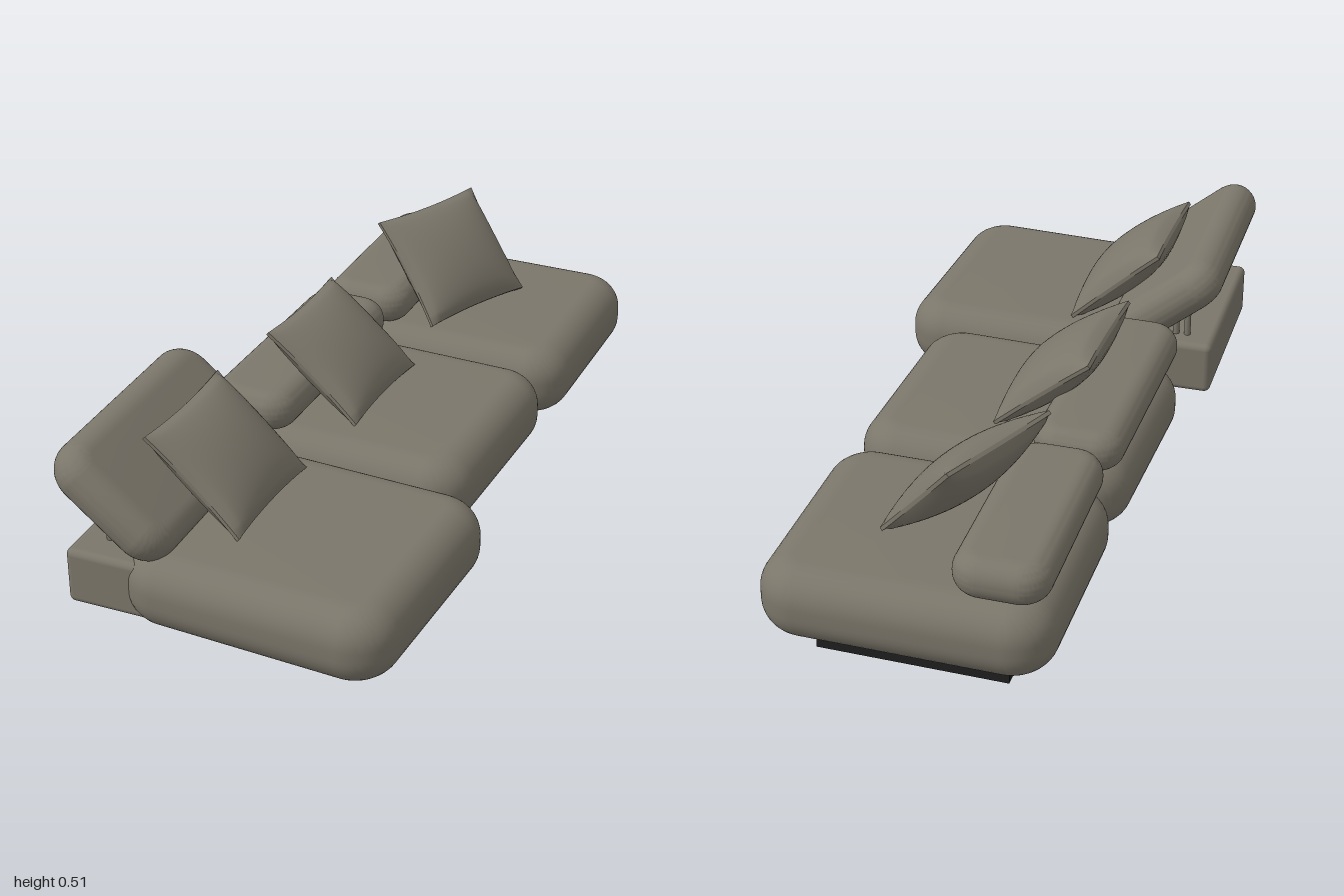
import * as THREE from 'three';
import { toCreasedNormals } from 'three/addons/utils/BufferGeometryUtils.js';
import { RoundedBoxGeometry } from 'three/addons/geometries/RoundedBoxGeometry.js';

const fabric = new THREE.MeshStandardMaterial({ color: 0x7b766a });
fabric.name = 'taupe fabric';
const black = new THREE.MeshStandardMaterial({ color: 0x1f1f1f });
black.name = 'black plinth';

// Soft block: rounded rectangle in plan (corner) with rolled top and bottom edges (roll)
function cushionGeometry(w, h, d, corner, roll) {
  const x = w / 2, y = d / 2, c = corner;
  const s = new THREE.Shape();
  s.moveTo(-x + c, -y);
  s.lineTo(x - c, -y);
  s.absarc(x - c, -y + c, c, -Math.PI / 2, 0);
  s.lineTo(x, y - c);
  s.absarc(x - c, y - c, c, 0, Math.PI / 2);
  s.lineTo(-x + c, y);
  s.absarc(-x + c, y - c, c, Math.PI / 2, Math.PI);
  s.lineTo(-x, -y + c);
  s.absarc(-x + c, -y + c, c, Math.PI, Math.PI * 1.5);
  const g = new THREE.ExtrudeGeometry(s, {
    depth: h - 2 * roll, bevelThickness: roll, bevelSize: roll, bevelOffset: -roll,
    bevelSegments: 10, curveSegments: 10,
  });
  g.center();
  g.rotateX(-Math.PI / 2);
  return toCreasedNormals(g, 0.8);
}

// Throw pillow: full in the middle, pinched to a thin seam, edges drawn in between the corners
function pillowGeometry(w, t, d) {
  const g = new THREE.BoxGeometry(2, 2, 2, 24, 1, 24);
  const p = g.attributes.position;
  for (let i = 0; i < p.count; i++) {
    const u = p.getX(i), v = p.getZ(i), side = Math.sign(p.getY(i));
    const puff = Math.pow(Math.max(0, (1 - u * u) * (1 - v * v)), 0.5);
    const drawX = 1 - 0.05 * (1 - v * v), drawZ = 1 - 0.05 * (1 - u * u);
    p.setXYZ(i, u * drawX * w / 2, side * (0.005 + puff * (t / 2 - 0.005)), v * drawZ * d / 2);
  }
  g.computeVertexNormals();
  return g;
}

export function createModel() {
  const model = new THREE.Group();

  function add(name, geometry, material, [x, y, z], yaw = 0, tilt = 0) {
    const mesh = new THREE.Mesh(geometry, material);
    mesh.name = name;
    mesh.position.set(x, y, z);
    mesh.rotation.set(0, yaw, -tilt, 'YXZ');
    model.add(mesh);
  }

  // Three seat modules, each on a recessed plinth
  const seats = [
    { name: 'front', x: 0.078, z: 0.652, w: 0.71, d: 0.66, yaw: -0.06, baseD: 0.345 },
    { name: 'middle', x: -0.008, z: -0.022, w: 0.725, d: 0.65, yaw: -0.045, baseD: 0.41 },
    { name: 'rear', x: 0.02, z: -0.672, w: 0.735, d: 0.645, yaw: -0.02, baseD: 0.43 },
  ];
  for (const s of seats) {
    add(s.name + 'Seat', cushionGeometry(s.w, 0.198, s.d, 0.115, 0.085), fabric, [s.x, 0.155, s.z], s.yaw);
    add(s.name + 'Plinth', new THREE.BoxGeometry(0.485, 0.07, s.baseD), black, [s.x - 0.008, 0.035, s.z - 0.012], s.yaw);
  }

  // Flat bolsters on the middle and rear seats
  add('middleBolster', cushionGeometry(0.235, 0.11, 0.675, 0.075, 0.052), fabric, [-0.243, 0.305, -0.032], -0.03);
  add('rearBolster', cushionGeometry(0.24, 0.11, 0.585, 0.075, 0.052), fabric, [-0.21, 0.305, -0.668], -0.01);

  // Reclined backrest of the front seat with its support block and posts
  add('backrest', cushionGeometry(0.355, 0.12, 0.65, 0.085, 0.058), fabric, [-0.305, 0.362, 0.635], 0, 0.69);
  add('backBlock', new RoundedBoxGeometry(0.25, 0.15, 0.52, 4, 0.018), fabric, [-0.305, 0.147, 0.67]);
  for (const z of [0.47, 0.845]) {
    for (const [x, h] of [[-0.35, 0.14], [-0.318, 0.12]]) {
      add('backrestPost', new THREE.CylinderGeometry(0.009, 0.009, h, 16), fabric, [x, 0.2 + h / 2, z]);
    }
  }

  // Throw pillows leaning backwards
  const pillow = pillowGeometry(0.33, 0.125, 0.365);
  add('frontPillow', pillow, fabric, [-0.155, 0.368, 0.597], -0.03, 0.74);
  add('middlePillow', pillow, fabric, [-0.115, 0.362, -0.015], -0.05, 0.7);
  add('rearPillow', pillow, fabric, [-0.037, 0.386, -0.622], -0.43, 0.84);

  return model;
}
